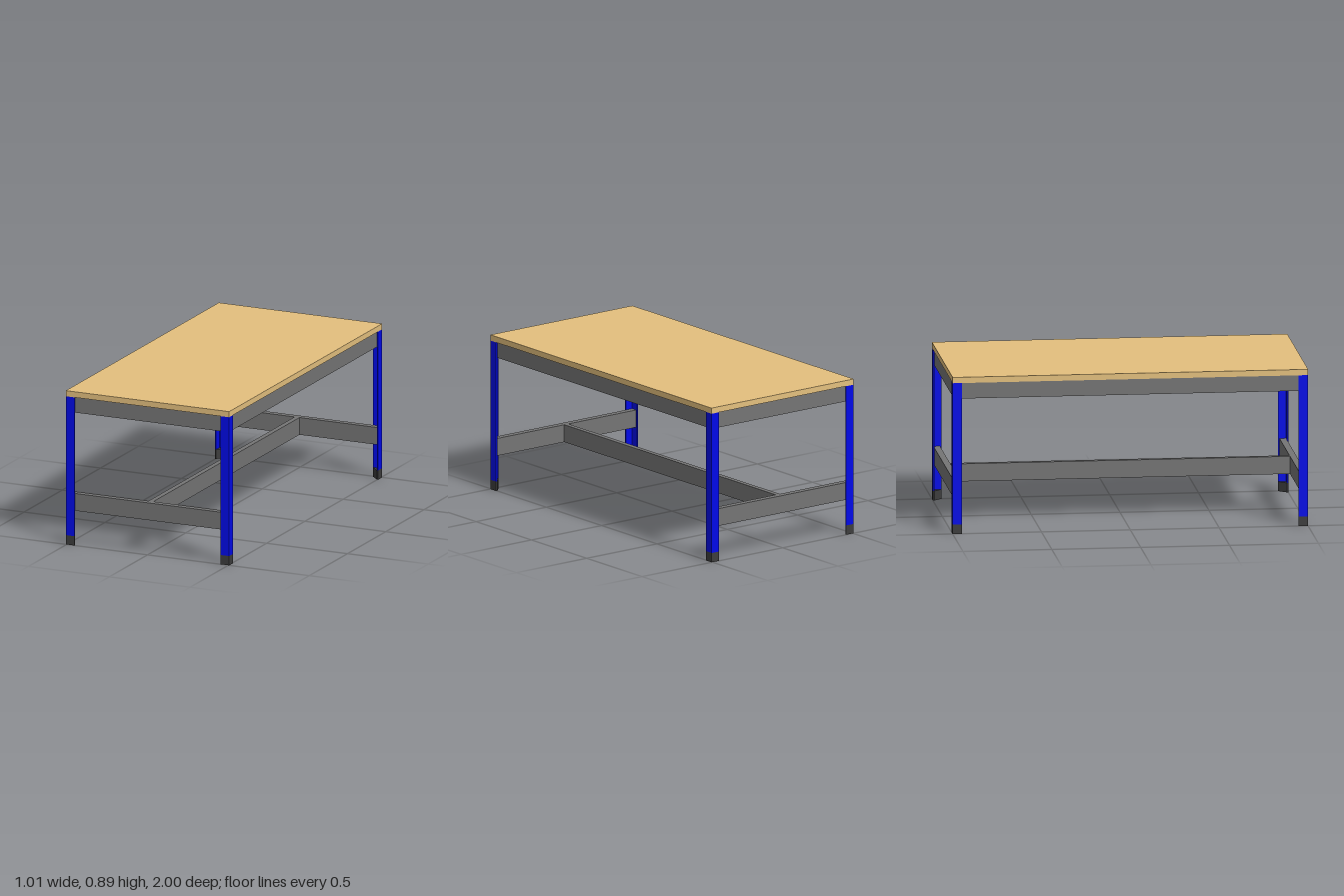
import * as THREE from 'three';

const W = 0.505, L = 1;          // half width (x) and half length (z)
const TOP = 0.893, UNDER = 0.86; // worktop upper and lower faces
const LEG = 0.053, WALL = 0.008; // angle-section flange and wall
const FOOT = 0.054;              // height of the dark feet

const paint = (color) => new THREE.MeshStandardMaterial({ color });
const wood = paint(0xe4c07e);
const blue = paint(0x0009e8);
const steel = paint(0x757575);
const rubber = paint(0x3d3d3d);

// Corner sections, measured inwards from the outer corner of the table
const ANGLE = [[0, 0], [LEG, 0], [LEG, WALL], [WALL, WALL], [WALL, LEG], [0, LEG]];
const WEDGE = [[0, 0], [LEG, 0], [LEG, WALL], [WALL, LEG], [0, LEG]];

// Box given by its lowest and highest corners
function box(name, material, [x0, y0, z0], [x1, y1, z1]) {
  const mesh = new THREE.Mesh(new THREE.BoxGeometry(x1 - x0, y1 - y0, z1 - z0), material);
  mesh.name = name;
  mesh.position.set((x0 + x1) / 2, (y0 + y1) / 2, (z0 + z1) / 2);
  return mesh;
}

// Upright of the given section standing in the corner (sx, sz)
function upright(name, material, section, sx, sz, y0, y1) {
  const points = section.map(([a, b]) => new THREE.Vector2(sx * (W - a), -sz * (L - b)));
  const geometry = new THREE.ExtrudeGeometry(new THREE.Shape(points), { depth: y1 - y0, bevelEnabled: false });
  geometry.rotateX(-Math.PI / 2);
  geometry.translate(0, y0, 0);
  const mesh = new THREE.Mesh(geometry, material);
  mesh.name = name;
  return mesh;
}

// Rail across the width at one end, seated inside the leg angles
function endRail(name, s, depth, y0, y1) {
  const x = W - WALL, outer = s * (L - WALL), inner = s * (L - depth);
  return box(name, steel, [-x, y0, Math.min(outer, inner)], [x, y1, Math.max(outer, inner)]);
}

export function createModel() {
  const table = new THREE.Group();
  table.name = 'workTable';
  const upper = 0.053, lower = 0.045; // inner faces of the rails, from the table edge

  table.add(box('worktop', wood, [-W, UNDER, -L], [W, TOP, L]));
  table.add(box('undersidePanel', steel, [-W + upper, 0.84, -L + upper], [W - upper, UNDER, L - upper]));

  // Four angle-section legs with solid feet
  for (const sx of [-1, 1]) {
    for (const sz of [-1, 1]) {
      const corner = (sz > 0 ? 'front' : 'back') + (sx > 0 ? 'Left' : 'Right');
      table.add(upright(corner + 'Leg', blue, ANGLE, sx, sz, FOOT, UNDER));
      table.add(upright(corner + 'Foot', rubber, WEDGE, sx, sz, 0, FOOT));
    }
  }

  // Frame under the top and lower end rails
  for (const s of [-1, 1]) {
    const end = s > 0 ? 'front' : 'back';
    table.add(endRail(end + 'UpperRail', s, upper, 0.77, UNDER));
    table.add(endRail(end + 'LowerRail', s, lower, 0.2, 0.3));
    const outer = s * (W - WALL), inner = s * (W - upper);
    table.add(box((s > 0 ? 'left' : 'right') + 'UpperRail', steel,
      [Math.min(outer, inner), 0.77, -L + upper], [Math.max(outer, inner), UNDER, L - upper]));
  }

  // Central stretcher joining the lower rails
  table.add(box('stretcher', steel, [-0.015, 0.2, -L + lower], [0.015, 0.3, L - lower]));

  return table;
}
